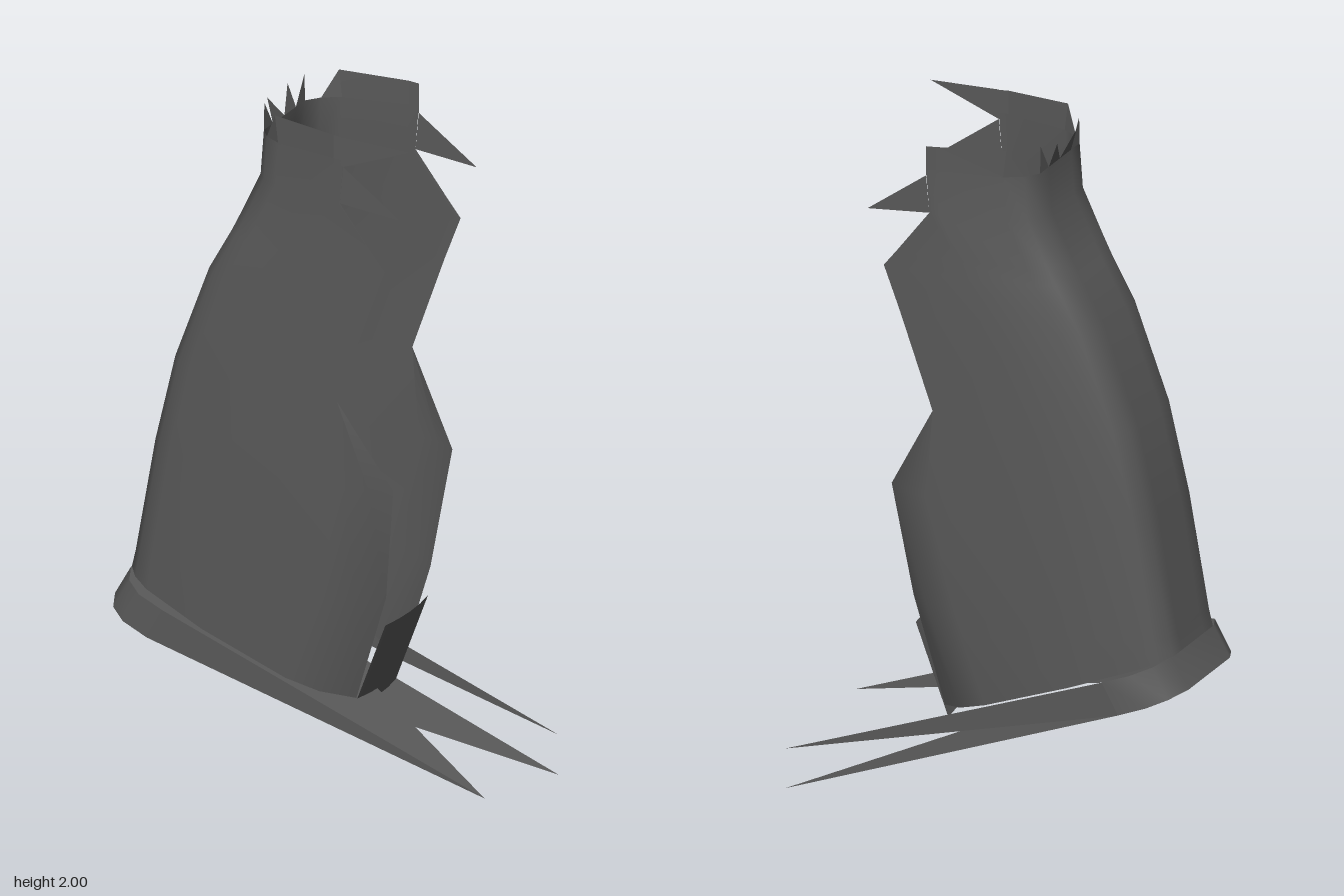
import * as THREE from 'three';

const charcoal = new THREE.MeshStandardMaterial({ color: 0x595959, side: THREE.DoubleSide });
charcoal.name = 'charcoal';

// Sloping planes of the sole
const topY = (x) => 0.55 - 0.38 * (x + 0.56);
const bottomY = (x) => Math.max(0, 0.4 - 0.39 * (x + 0.45));

function mesh(name, points, index) {
  const g = new THREE.BufferGeometry();
  g.setAttribute('position', new THREE.Float32BufferAttribute(points.flat(), 3));
  if (index) g.setIndex(index);
  g.computeVertexNormals();
  const m = new THREE.Mesh(g, charcoal);
  m.name = name;
  return m;
}

// Surface through rows of equally many points
function loft(name, rows) {
  const n = rows[0].length, index = [];
  for (let r = 0; r + 1 < rows.length; r++) {
    for (let c = 0; c + 1 < n; c++) {
      const a = r * n + c, b = a + n;
      index.push(a, a + 1, b, a + 1, b + 1, b);
    }
  }
  return mesh(name, rows.flat(), index);
}

// Flat convex polygon as a fan
function fan(name, pts) {
  const index = [];
  for (let i = 1; i + 1 < pts.length; i++) index.push(0, i, i + 1);
  return mesh(name, pts, index);
}

export function createModel() {
  const group = new THREE.Group();

  // Rounded rear of the section: [distance from back, half width]
  const rear = [[0, 0], [0, 0.07], [0, 0.125], [0.03, 0.165], [0.08, 0.195], [0.27, 0.23]];
  // Levels of the shell: height, back x, then the torn front edge as [x, half width]
  const level = (y, back, ...front) => {
    while (front.length < 3) front.push(front[0]);
    return { y, pts: [...rear.map(([d, z]) => [back + d, z]), ...front] };
  };
  const levels = [
    level(null, -0.56, [-0.03, 0.23], [0.06, 0.2], [0.14, 0.13]),
    level(0.6, -0.548, [0.06, 0.23], [0.17, 0.19], [0.235, 0.135]),
    level(0.94, -0.487, [0.15, 0.23], [0.22, 0.21], [0.28, 0.18]),
    level(1.2, -0.425, [0.13, 0.23]),
    level(1.48, -0.32, [0.23, 0.23]),
    level(1.61, -0.247, [0.28, 0.23]),
    level(1.66, -0.222, [0.24, 0.23]),
    level(1.79, -0.16, [0.14, 0.23]),
    level(1.92, -0.15, [0.15, 0.23]),
  ];
  const rows = levels.map(({ y, pts }) => {
    const half = pts.map(([x, z]) => [x, y ?? topY(x), z]);
    const other = half.slice(1).reverse().map(([x, h, z]) => [x, h, -z]);
    return [...other, ...half];
  });
  group.add(loft('shell', rows));

  // Torn upper rim, mirrored
  for (const s of [1, -1]) {
    const tri = (name, ...p) => group.add(fan(name, p.map(([x, y, z]) => [x, y, z * s])));
    tri('rearSpike', [-0.15, 1.92, 0], [-0.15, 1.92, 0.07], [-0.172, 1.99, 0.062]);
    tri('rearSpike', [-0.15, 1.92, 0.07], [-0.15, 1.92, 0.125], [-0.15, 2, 0.122]);
    tri('rearSpike', [-0.12, 1.92, 0.165], [-0.07, 1.92, 0.195], [-0.08, 2, 0.195]);
    tri('sideRim', [-0.07, 1.92, 0.195], [0.12, 1.92, 0.23], [0.12, 1.99, 0.23], [-0.08, 2, 0.195]);
    tri('sideRim', [0.12, 1.92, 0.23], [0.15, 1.9, 0.23], [0.15, 1.987, 0.23], [0.12, 1.99, 0.23]);
    tri('lowerShard', [0.15, 1.9, 0.23], [0.33, 1.77, 0.23], [0.14, 1.79, 0.23]);
  }
  // The upper shard survives on one side only
  group.add(fan('upperShard', [[0.15, 1.9, 0.23], [0.36, 1.98, 0.23], [0.15, 1.988, 0.23]]));

  // Low front panel joining both sides
  const panelZ = [-0.13, -0.065, 0, 0.065, 0.13];
  const bulge = (z) => 0.012 * (1 - (z / 0.13) ** 2);
  group.add(loft('frontPanel', [
    panelZ.map((z) => [0.13 + bulge(z), 0.248, z]),
    panelZ.map((z) => [0.23 + bulge(z), 0.515, z]),
  ]));

  // Sole: rear outline running from +z round the back to -z
  const corner = [[0.16, 0.25], [0.08, 0.24], [0.03, 0.2], [0, 0.13]];
  const outline = [...corner, ...corner.slice().reverse().map(([d, z]) => [d, -z])];
  const upper = outline.map(([d, z]) => [d - 0.56, topY(d - 0.56), z]);
  const lower = outline.map(([d, z]) => [d - 0.61, bottomY(d - 0.61), z]);
  const last = outline.length - 1;
  const tipLeft = [0.6, topY(0.6), 0.25];
  const tipRight = [0.575, topY(0.575), -0.25];
  group.add(loft('soleRim', [upper, lower]));
  group.add(fan('soleTop', [tipLeft, ...upper.slice().reverse()]));
  group.add(fan('soleBottom', [[0.575, 0, -0.25], ...lower]));
  group.add(fan('soleWall', [tipLeft, upper[0], lower[0]]));
  group.add(fan('soleWall', [tipRight, lower[last], upper[last]]));

  return group;
}
